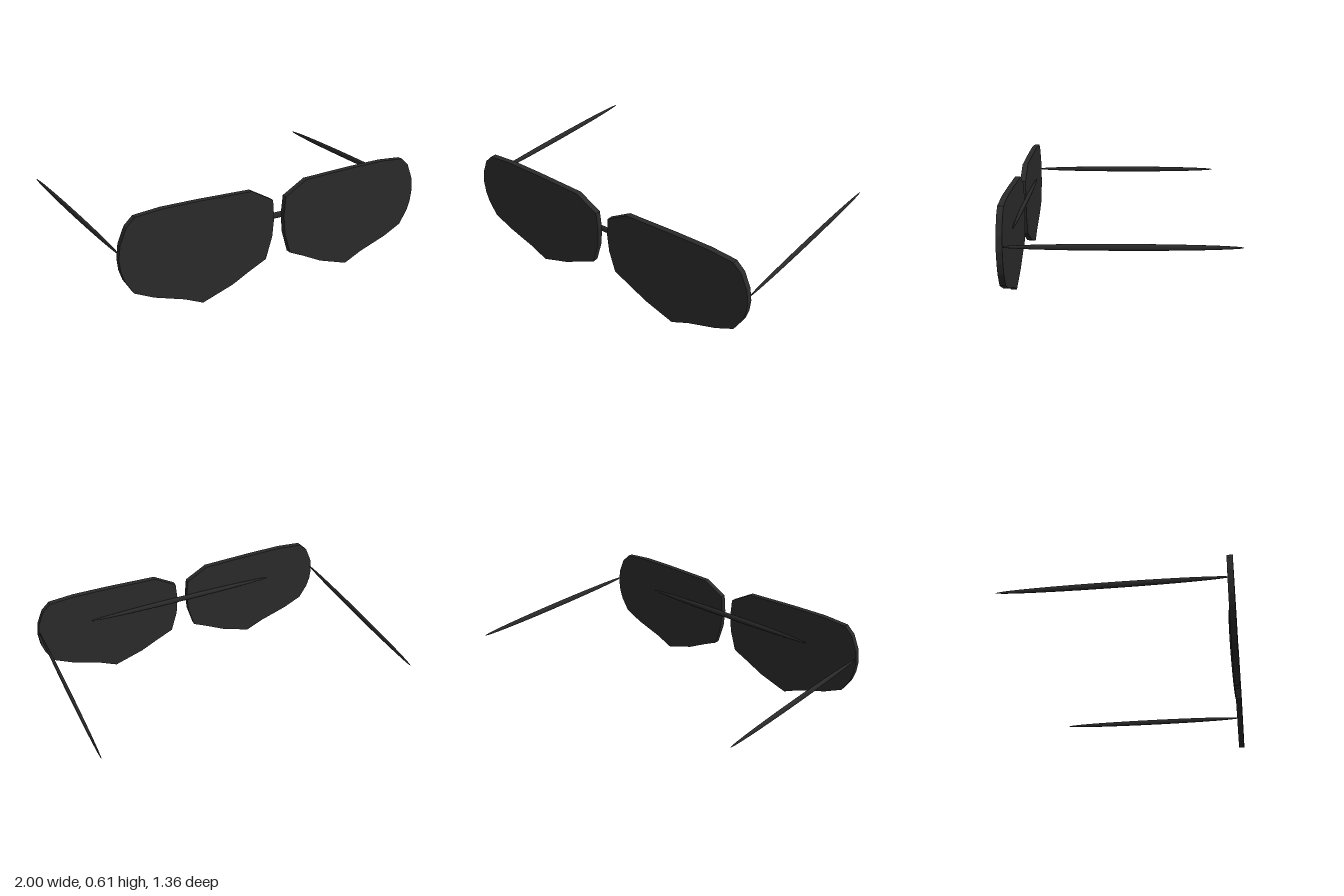
import * as THREE from 'three';

// Right-hand half of the outline, measured from the middle of the bridge
const LENS = [
  [0.033, 0.41], [0.043, 0.30], [0.082, 0.17], [0.18, 0.125], [0.30, 0.065],
  [0.488, 0.004], [0.60, 0.055], [0.78, 0.115], [0.895, 0.17], [0.945, 0.25],
  [0.965, 0.31], [0.973, 0.38], [0.963, 0.46], [0.925, 0.55], [0.875, 0.597],
  [0.72, 0.61], [0.50, 0.608], [0.18, 0.598], [0.043, 0.52],
];
const THICK = 0.033;

export function createModel() {
  const model = new THREE.Group();
  model.name = 'sunglasses';
  const black = new THREE.MeshStandardMaterial({ color: 0x2a2a2a });
  black.name = 'dark charcoal';

  // The whole pair is turned slightly to one side
  const glasses = new THREE.Group();
  glasses.name = 'glasses';
  glasses.position.set(-0.0275, 0, 0.616);
  glasses.rotation.y = -0.0514;
  model.add(glasses);

  const add = (geometry, name, x, y, z) => {
    const mesh = new THREE.Mesh(geometry, black);
    mesh.name = name;
    mesh.position.set(x, y, z);
    glasses.add(mesh);
  };

  // Long thin spindle used for the temples and the bridge
  const spindle = (rx, ry, rz) => new THREE.SphereGeometry(1, 32, 24).scale(rx, ry, rz);

  for (const [side, label] of [[1, 'left'], [-1, 'right']]) {
    // Flat lens with a pointed lower edge
    const shape = new THREE.Shape(LENS.map(([x, y]) => new THREE.Vector2(side * x, y)));
    const lens = new THREE.ExtrudeGeometry(shape, { depth: THICK, bevelEnabled: false });
    add(lens, label + 'Lens', 0, 0, -THICK / 2);

    // Temple running straight back from the outer edge
    add(spindle(0.01, 0.018, 0.625), label + 'Temple', side * 0.964, 0.405, -0.625);
  }

  // Bridge bar lying along the back of both lenses
  add(spindle(0.625, 0.018, 0.011), 'bridge', 0, 0.405, -0.022);

  return model;
}
